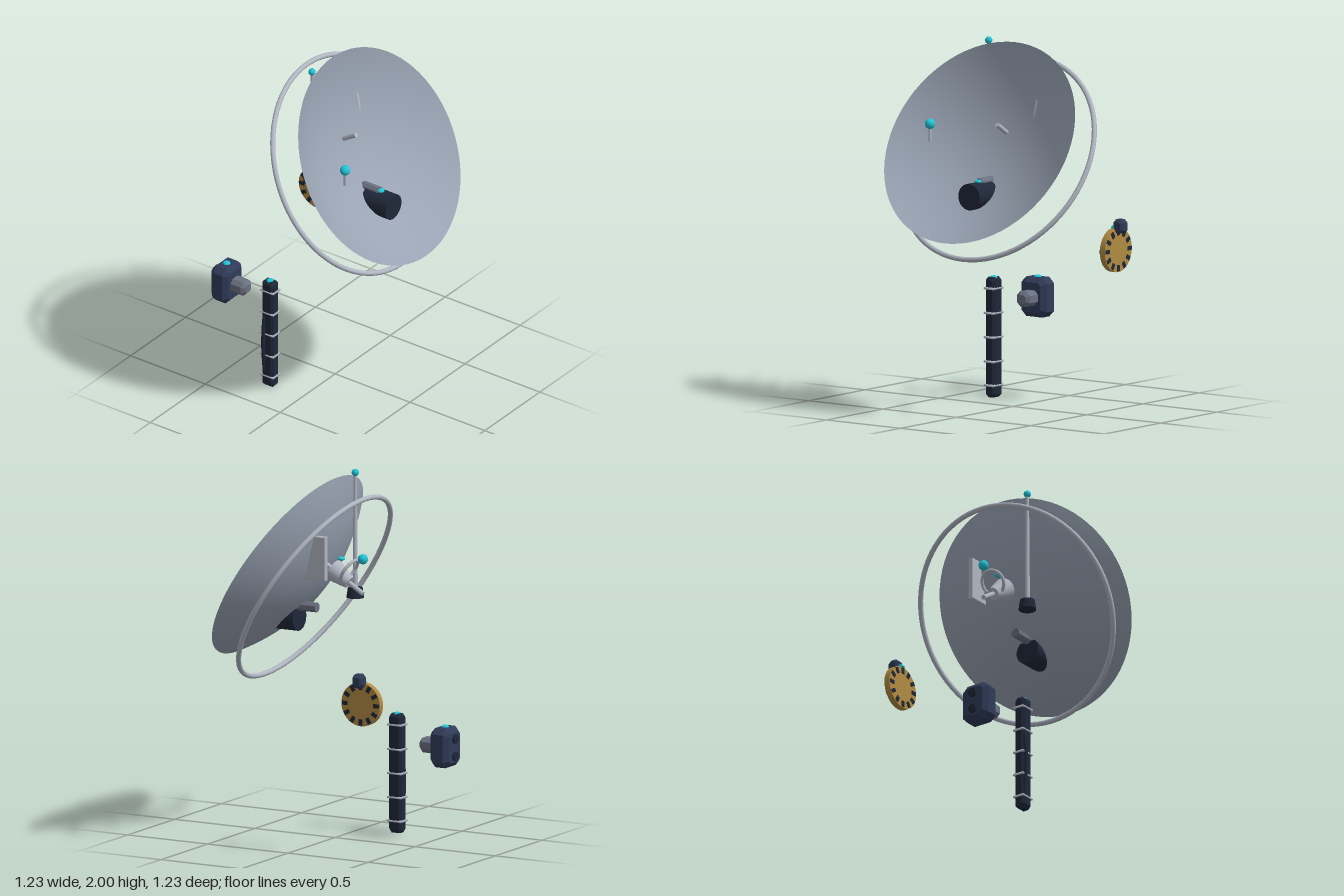
import * as THREE from 'three';

const mat = (color, opts = {}) => new THREE.MeshStandardMaterial({ color, ...opts });
const STEEL = mat(0xb0b6c2), DISH = mat(0x99a3b3, { side: THREE.DoubleSide });
const GREY = mat(0x6b7080), DARK = mat(0x1f2738), NAVY = mat(0x2f3b58);
const GOLD = mat(0xb08a42), CYAN = mat(0x22c4d8);

const TILT = 1.017; // turns the y axis into the direction the dish faces
const AXIS = new THREE.Vector3(0, Math.cos(TILT), Math.sin(TILT));

function add(parent, name, geometry, material, x = 0, y = 0, z = 0) {
  const mesh = new THREE.Mesh(geometry, material);
  mesh.name = name;
  mesh.position.set(x, y, z);
  parent.add(mesh);
  return mesh;
}

function group(parent, name, x = 0, y = 0, z = 0) {
  const g = new THREE.Group();
  g.name = name;
  g.position.set(x, y, z);
  parent.add(g);
  return g;
}

// Centred box with every edge chamfered by c
function chamferBox(w, h, d, c) {
  const a = w / 2 - c, b = h / 2 - c, k = c * 0.6;
  const shape = new THREE.Shape([
    [a, -b + k], [a, b - k], [a - k, b], [-a + k, b],
    [-a, b - k], [-a, -b + k], [-a + k, -b], [a - k, -b],
  ].map(([x, y]) => new THREE.Vector2(x, y)));
  const g = new THREE.ExtrudeGeometry(shape, {
    depth: d - 2 * c, bevelEnabled: true, bevelThickness: c, bevelSize: c, bevelSegments: 1,
  });
  return g.translate(0, 0, -(d / 2 - c));
}

const ball = (r) => new THREE.SphereGeometry(r, 20, 14);
const rod = (r, h, sides = 16) => new THREE.CylinderGeometry(r, r, h, sides);

// Small flattened indicator lamp
function lamp(parent, x, y, z, r = 0.021) {
  add(parent, 'lamp', ball(r), CYAN, x, y, z).scale.y = 0.55;
}

function buildDish(root) {
  // Paraboloid bowl
  const profile = [];
  for (let i = 0; i <= 20; i++) {
    const r = 0.6 * i / 20;
    profile.push(new THREE.Vector2(r, -0.2 + 0.2 * (r / 0.6) ** 2));
  }
  add(root, 'dish', new THREE.LatheGeometry(profile, 72), DISH, 0, 1.475, 0.295).rotation.x = TILT;
  add(root, 'backRing', new THREE.TorusGeometry(0.602, 0.014, 12, 80), STEEL, 0, 1.37, 0.127)
    .rotation.x = TILT - Math.PI / 2;

  // Feed horn with its hexagonal barrel
  const feed = group(root, 'feed', 0, 1.19, 0);
  add(feed, 'horn', rod(0.072, 0.17, 32).rotateX(Math.PI / 2), DARK, 0, 0, 0.305);
  add(feed, 'barrel', new THREE.CylinderGeometry(0.027, 0.027, 0.19, 8).rotateY(Math.PI / 8).rotateX(Math.PI / 2),
    mat(0x6b7080, { flatShading: true }), 0, 0.066, 0.205);
  lamp(feed, 0, 0.075, 0.305);
}

function buildHub(root) {
  const hub = group(root, 'hub', 0, 1.36, -0.175);
  const along = (mesh, t) => {
    mesh.position.copy(AXIS).multiplyScalar(t);
    mesh.rotation.x = TILT;
  };
  along(add(hub, 'axle', rod(0.013, 0.37), STEEL), 0.185);
  along(add(hub, 'hubCone', new THREE.CylinderGeometry(0.064, 0.034, 0.12, 28), STEEL), 0.16);
  add(hub, 'hubRing', new THREE.TorusGeometry(0.068, 0.009, 10, 36), STEEL, 0, 0.12, 0.085)
    .rotation.x = TILT - Math.PI / 2;
  lamp(hub, 0, 0.18, 0.135);
  add(hub, 'rearBeacon', ball(0.028), CYAN, 0, 0.19, 0);
}

function buildFin(root) {
  // Tapered fin, outlined in z and y, then turned to stand across x
  const shape = new THREE.Shape([[-0.015, 1.685], [-0.07, 1.455], [0.047, 1.455], [0.047, 1.685]]
    .map(([x, y]) => new THREE.Vector2(x, y)));
  const g = new THREE.ExtrudeGeometry(shape, {
    depth: 0.02, bevelEnabled: true, bevelThickness: 0.005, bevelSize: 0.005, bevelSegments: 2,
  });
  add(root, 'fin', g.translate(0, 0, -0.01).rotateY(Math.PI / 2), STEEL, 0.18, 0, 0);
}

function buildMasts(root) {
  // Tall aerial behind the dish
  const mast = group(root, 'aerial', -0.18, 0, -0.022);
  add(mast, 'aerialFoot', new THREE.CylinderGeometry(0.04, 0.048, 0.055, 24), DARK, 0, 1.322, 0);
  add(mast, 'aerialRod', new THREE.CylinderGeometry(0.009, 0.014, 0.64, 14), STEEL, 0, 1.665, 0);
  add(mast, 'aerialTip', ball(0.02), CYAN, 0, 1.98, 0);
  // Short beacon inside the bowl
  const beacon = group(root, 'frontBeacon', -0.327, 0, 0.307);
  add(beacon, 'beaconRod', rod(0.008, 0.09), STEEL, 0, 1.5, 0);
  add(beacon, 'beaconTip', ball(0.028), CYAN, 0, 1.55, 0);
}

function buildWheel(root) {
  const wheel = group(root, 'wheel', 0.392, 0.845, -0.4);
  add(wheel, 'wheelDisc', rod(0.12, 0.034, 40).rotateZ(Math.PI / 2), GOLD);
  // Twelve studs around the edge
  for (let i = 0; i < 12; i++) {
    const a = i * Math.PI / 6;
    const stud = add(wheel, 'wheelStud', new THREE.BoxGeometry(0.042, 0.034, 0.022), DARK,
      0, 0.098 * Math.cos(a), 0.098 * Math.sin(a));
    stud.rotation.x = a;
  }
  add(wheel, 'wheelBlock', chamferBox(0.066, 0.076, 0.062, 0.014), NAVY, 0.032, 0.132, 0);
  lamp(wheel, -0.005, 0.124, 0);
}

function buildPole(root) {
  const pole = group(root, 'pole', -0.295, 0, -0.217);
  add(pole, 'poleShaft', chamferBox(0.064, 0.655, 0.08, 0.014), DARK, 0, 0.332, 0);
  // Square wire bands
  for (const y of [0.07, 0.2, 0.332, 0.464, 0.598]) {
    const band = new THREE.TorusGeometry(0.046, 0.007, 8, 4).rotateZ(Math.PI / 4).rotateX(Math.PI / 2);
    add(pole, 'poleBand', band, STEEL, 0, y, 0).scale.set(0.9, 1, 1.22);
  }
  // Bowed cable on the outer side
  const path = new THREE.CatmullRomCurve3([[-0.022, 0.46], [-0.033, 0.37], [-0.037, 0.27], [-0.032, 0.18], [-0.022, 0.09]]
    .map(([x, y]) => new THREE.Vector3(x, y, -0.02)));
  add(pole, 'poleCable', new THREE.TubeGeometry(path, 24, 0.011, 8), DARK);
  lamp(pole, 0, 0.655, 0);
}

function buildSensor(root) {
  const sensor = group(root, 'sensor', -0.246, 0.517, -0.545);
  add(sensor, 'sensorBody', chamferBox(0.17, 0.215, 0.115, 0.026), NAVY);
  add(sensor, 'sensorLens', chamferBox(0.088, 0.082, 0.13, 0.018), GREY, 0, 0, 0.08);
  for (const y of [-0.048, 0.048]) {
    add(sensor, 'sensorButton', rod(0.025, 0.02, 20).rotateX(Math.PI / 2), DARK, 0, y, -0.06);
  }
  lamp(sensor, 0, 0.108, 0);
}

export function createModel() {
  const root = new THREE.Group();
  root.name = 'dishStation';
  for (const build of [buildDish, buildHub, buildFin, buildMasts, buildWheel, buildPole, buildSensor]) build(root);
  return root;
}
